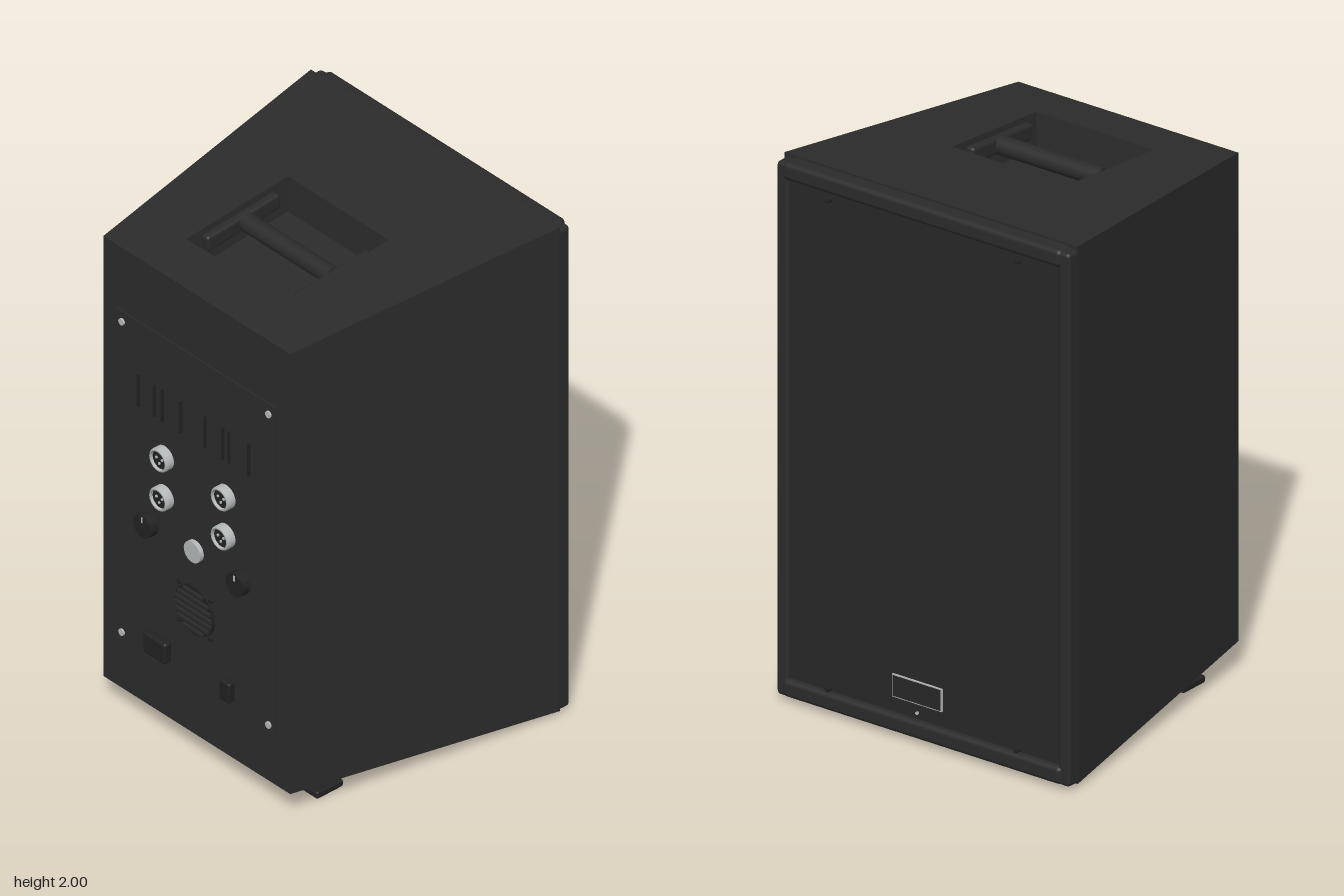
import * as THREE from 'three';
import { RoundedBoxGeometry } from 'three/addons/geometries/RoundedBoxGeometry.js';

const mat = (name, color) => Object.assign(new THREE.MeshStandardMaterial({ color }), { name });

export function createModel() {
  const M = {
    cabinet: mat('cabinet black', 0x2b2b2b),
    grille: mat('grille charcoal', 0x282828),
    dark: mat('fitting black', 0x222222),
    metal: mat('light metal', 0xb4b8b8),
  };
  const model = new THREE.Group();
  model.name = 'loudspeaker';

  // Helpers: place a mesh, a rounded box, a disc facing +z
  const add = (name, geo, m, x = 0, y = 0, z = 0, parent = model) => {
    const mesh = new THREE.Mesh(geo, m);
    mesh.name = name;
    mesh.position.set(x, y, z);
    parent.add(mesh);
    return mesh;
  };
  const box = (w, h, d, r = 0) => r ? new RoundedBoxGeometry(w, h, d, 3, r) : new THREE.BoxGeometry(w, h, d);
  const disc = (r, d, n = 32) => new THREE.CylinderGeometry(r, r, d, n).rotateX(Math.PI / 2);

  // Tapered cabinet with the handle recess cut into its sloping top
  const FZ = 0.56, BZ = -0.52, slope = 0.09 / (FZ - BZ);
  const topY = z => 1.91 + (FZ - z) * slope;
  const ring = (xf, zf, xb, zb, y) =>
    [[-xf, zf], [xf, zf], [xb, zb], [-xb, zb]].map(([x, z]) => [x, y(z), z]);
  const top = ring(0.465, FZ, 0.62, BZ, topY);
  const base = ring(0.465, FZ, 0.62, BZ, z => 0.11 - (FZ - z) * slope);
  const hole = ring(0.25, 0.38, 0.25, -0.08, topY);
  const floor = ring(0.237, 0.367, 0.237, -0.067, z => topY(z) - 0.13);
  const pos = [];
  const quad = (a, b, c, d) => pos.push(...a, ...b, ...c, ...a, ...c, ...d);
  const band = (lower, upper) => {
    for (let i = 0; i < 4; i++) {
      const j = (i + 1) % 4;
      quad(lower[i], lower[j], upper[j], upper[i]);
    }
  };
  band(base, top);
  band(top, hole);
  band(hole, floor);
  quad(...floor);
  quad(...[...base].reverse());
  quad(top[3], top[2], base[2], base[3]);
  const shell = new THREE.BufferGeometry();
  shell.setAttribute('position', new THREE.Float32BufferAttribute(pos, 3));
  shell.computeVertexNormals();
  add('cabinet', shell, M.cabinet);

  // Carrying handle lying along the slope
  const handle = new THREE.Group();
  handle.name = 'handle';
  handle.position.set(0, topY(0.15) - 0.045, 0.15);
  handle.rotation.x = Math.atan(slope);
  model.add(handle);
  add('handleBar', new THREE.CylinderGeometry(0.034, 0.034, 0.43, 24).rotateZ(Math.PI / 2), M.cabinet, 0, 0, -0.01, handle);
  for (const s of [-1, 1]) add('handleBracket', box(0.036, 0.06, 0.33, 0.012), M.cabinet, s * 0.23, 0, 0, handle);

  // Grille and the rounded rim around it
  add('grille', box(1.14, 1.87, 0.04), M.grille, 0, 1.005, -0.532);
  for (const s of [-1, 1]) {
    add('rimSide', box(0.05, 1.965, 0.07, 0.015), M.cabinet, s * 0.595, 1.003, -0.532);
    add('rimBar', box(1.18, 0.065, 0.075, 0.018), M.cabinet, 0, 1.008 + s * 0.952, -0.54);
    for (const y of [0.1, 1.9]) add('grilleScrew', disc(0.009, 0.02, 12), M.dark, s * 0.4, y, -0.565);
  }

  // Blank badge with a light border
  add('badgeBorder', box(0.21, 0.084, 0.006), M.metal, 0, 0.21, -0.595);
  add('badgeFace', box(0.202, 0.076, 0.004), M.grille, 0, 0.21, -0.598);
  add('badgeStud', disc(0.006, 0.006, 10), M.metal, 0, 0.135, -0.597);

  // Feet and pole socket
  for (const x of [-0.39, 0.39]) for (const z of [0.355, -0.31])
    add('foot', box(0.1, 0.028, 0.12, 0.008), M.dark, x, 0.018, z);
  const socket = new THREE.Shape().absarc(0, 0, 0.077, 0, Math.PI * 2);
  socket.holes.push(new THREE.Path().absarc(0, 0, 0.055, 0, Math.PI * 2, true));
  add('poleSocket', new THREE.ExtrudeGeometry(socket, { depth: 0.06, bevelEnabled: false, curveSegments: 24 })
    .rotateX(-Math.PI / 2), M.dark, 0, 0.005, 0.025);
  add('socketPlug', new THREE.CylinderGeometry(0.055, 0.055, 0.05, 32), M.dark, 0, 0.04, 0.025);

  // Control panel with corner screws and cooling ribs
  add('controlPanel', box(0.8, 1.365, 0.01), M.cabinet, 0, 0.9725, 0.56);
  for (const x of [-0.365, 0.365]) for (const y of [0.345, 1.615])
    add('panelScrew', disc(0.013, 0.012, 16), M.metal, x, y, 0.566);
  for (const x of [-0.28, -0.2, -0.16, -0.07, 0.05, 0.14, 0.17, 0.27])
    add('coolingRib', box(0.007, 0.13, 0.012), M.dark, x, 1.38, 0.569);

  // Four audio sockets: metal collar, dark insert, three pins
  const collar = new THREE.LatheGeometry(
    [[0.045, 0], [0.045, 0.028], [0.041, 0.034], [0.035, 0.034], [0.034, 0]].map(p => new THREE.Vector2(...p)), 32
  ).rotateX(Math.PI / 2);
  for (const x of [-0.153, 0.153]) for (const y of [1.01, 1.17]) {
    const jack = new THREE.Group();
    jack.name = 'audioSocket';
    jack.position.set(x, y, 0.565);
    model.add(jack);
    add('collar', collar, M.metal, 0, 0, 0, jack);
    add('insert', disc(0.036, 0.024), M.dark, 0, 0, 0.012, jack);
    for (const [px, py] of [[-0.014, 0.005], [0.014, 0.005], [0, -0.014]])
      add('pin', disc(0.005, 0.006, 10), M.metal, px, py, 0.025, jack);
  }

  // Knobs with pointer marks, and the central button
  for (const x of [-0.23, 0.23]) {
    add('knob', disc(0.044, 0.034), M.dark, x, 0.86, 0.582);
    add('knobPointer', box(0.007, 0.022, 0.004), M.metal, x, 0.888, 0.599);
  }
  add('centreButton', disc(0.041, 0.018, 24), M.metal, 0, 0.868, 0.573);

  // Round vent with horizontal slats
  add('ventDisc', disc(0.097, 0.008, 40), M.dark, 0, 0.625, 0.569);
  for (let i = -3; i <= 3; i++) {
    const y = i * 0.025;
    add('ventSlat', box(2 * Math.sqrt(0.09 ** 2 - y * y), 0.011, 0.01), M.cabinet, 0, 0.625 + y, 0.577);
  }
  for (const x of [-0.078, 0.078]) for (const y of [-0.078, 0.078])
    add('ventScrew', disc(0.008, 0.01, 10), M.dark, x, 0.625 + y, 0.569);

  // Power inlet and switch
  add('powerInlet', box(0.113, 0.083, 0.034, 0.01), M.dark, -0.175, 0.39, 0.58);
  add('powerSwitch', box(0.052, 0.08, 0.03, 0.008), M.dark, 0.17, 0.39, 0.578);
  return model;
}
